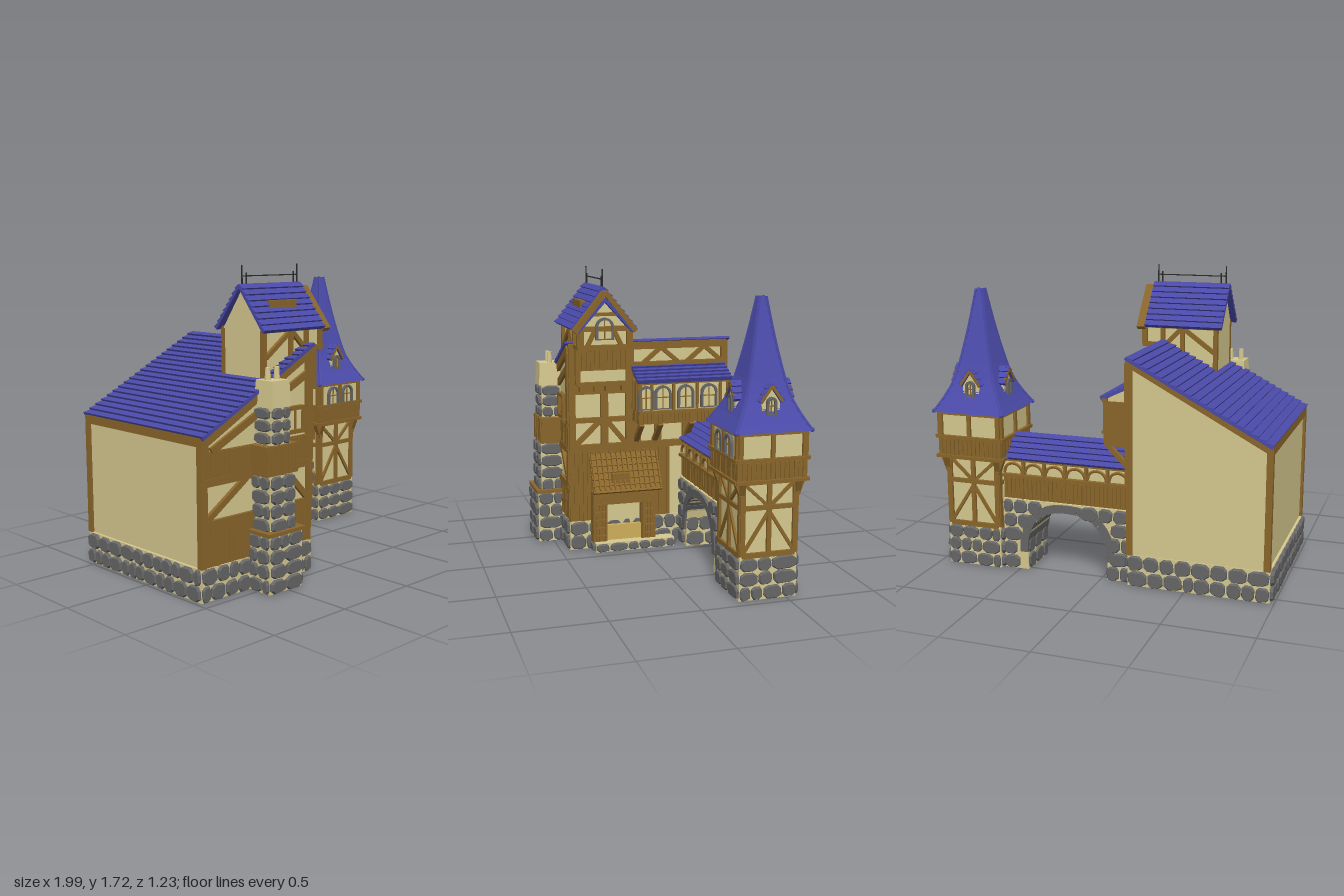
import * as THREE from 'three';
import { mergeGeometries } from 'three/addons/utils/BufferGeometryUtils.js';

const CREAM = 0xd6c98f, WOOD = 0x8a662b, BLUE = 0x4a4aa8, STONE = 0x666666, DARK = 0x2a2a2a, GOLD = 0xcfae5c;
const R = Math.PI / 2, FRONT = 0, RIGHT = R, BACK = 2 * R, LEFT = -R;
let seed = 7;
const rnd = (a = 0, b = 1) => a + (b - a) * ((seed = (seed * 16807) % 2147483647) / 2147483647);

// Merge pieces into one named mesh; rot turns face coordinates (right, up, outward) to a side
function place(parent, name, color, geos, rot = 0) {
  const clean = geos.flat(3).map(g => {
    const n = g.index ? g.toNonIndexed() : g;
    n.deleteAttribute('uv');
    return n;
  });
  const mesh = new THREE.Mesh(mergeGeometries(clean),
    new THREE.MeshStandardMaterial({ color, flatShading: true, side: THREE.DoubleSide }));
  mesh.name = name;
  mesh.rotation.y = rot;
  parent.add(mesh);
}
const box = (x0, x1, y0, y1, z0, z1) =>
  new THREE.BoxGeometry(x1 - x0, y1 - y0, z1 - z0).translate((x0 + x1) / 2, (y0 + y1) / 2, (z0 + z1) / 2);
const beam = (x0, y0, x1, y1, z, w = 0.025, d = 0.03) =>
  new THREE.BoxGeometry(Math.hypot(x1 - x0, y1 - y0), w, d)
    .rotateZ(Math.atan2(y1 - y0, x1 - x0)).translate((x0 + x1) / 2, (y0 + y1) / 2, z);
const poly = pts => new THREE.Shape(pts.map(p => new THREE.Vector2(p[0], p[1])));
const slab = (shape, z0, z1) =>
  new THREE.ExtrudeGeometry(shape, { depth: z1 - z0, bevelEnabled: false, curveSegments: 8 }).translate(0, 0, z0);
const frame = (x0, x1, y0, y1, z, w = 0.025) => [beam(x0, y0, x1, y0, z, w), beam(x0, y1, x1, y1, z, w),
  beam(x0, y0, x0, y1, z, w), beam(x1, y0, x1, y1, z, w)];

// Vertical boards of uneven depth and length
function planks(x0, x1, y0, y1, z, n) {
  const out = [box(x0, x1, y0, y1, z - 0.02, z)], w = (x1 - x0) / n;
  for (let i = 0; i < n; i++)
    out.push(box(x0 + i * w + 0.003, x0 + (i + 1) * w - 0.003, y0 + rnd(0, 0.012), y1 - rnd(0, 0.012), z - 0.01, z + rnd(0.004, 0.011)));
  return out;
}
// Rows of irregular chamfered stones on a wall
function stones(x0, x1, y0, y1, z, skip = () => false) {
  const out = [], rows = Math.max(1, Math.round((y1 - y0) / 0.078)), h = (y1 - y0) / rows;
  for (let r = 0; r < rows; r++) for (let x = x0; x < x1 - 0.01;) {
    let w = rnd(0.06, 0.12);
    if (x + w > x1 - 0.045) w = x1 - x;
    const cx = x + w / 2, cy = y0 + (r + 0.5) * h, a = w / 2 - 0.009, b = h / 2 - 0.009;
    x += w;
    if (skip(cx, cy)) continue;
    const pts = [[1, 0.5], [0.6, 1], [-0.5, 1], [-1, 0.6], [-1, -0.5], [-0.6, -1], [0.5, -1], [1, -0.6]]
      .map(([u, v]) => [cx + u * a * rnd(0.9, 1.04), cy + v * b * rnd(0.88, 1.06)]);
    out.push(new THREE.ExtrudeGeometry(poly(pts), { depth: 0.008, bevelThickness: rnd(0.006, 0.012),
      bevelSize: 0.006, bevelSegments: 1 }).translate(0, 0, z));
  }
  return out;
}
// Stone-clad block: mortar core and stones on all four sides
function stoneBlock(parent, name, x0, x1, y0, y1, z0, z1) {
  place(parent, name + 'Mortar', CREAM, [box(x0, x1, y0, y1, z0, z1)]);
  [[FRONT, x0, x1, z1], [BACK, -x1, -x0, -z0], [RIGHT, -z1, -z0, x1], [LEFT, z0, z1, -x0]]
    .forEach(([rot, a, b, d]) => place(parent, name + 'Stones', STONE, stones(a, b, y0, y1, d), rot));
}
// Stepped shingle courses running from eave (a0,y0) to ridge (a1,y1)
function shingles(a0, y0, a1, y1, n, d0, d1, t = 0.012) {
  const L = Math.hypot(a1 - a0, y1 - y0), s = a1 > a0 ? 1 : -1;
  const nx = -(y1 - y0) / L * s, ny = (a1 - a0) / L * s, pts = [];
  for (let i = 0; i < n; i++) {
    const at = k => [a0 + (a1 - a0) * k / n, y0 + (y1 - y0) * k / n], p = at(i);
    pts.push([p[0] + nx * t, p[1] + ny * t], at(i + 1));
  }
  pts.push([a1 - nx * 0.015, y1 - ny * 0.015], [a0 - nx * 0.015, y0 - ny * 0.015]);
  return slab(poly(pts), d0, d1);
}
const gableRoof = (c, half, y0, y1, n, d0, d1) =>
  [shingles(c - half, y0, c, y1, n, d0, d1), shingles(c + half, y0, c, y1, n, d0, d1)];
const arch = (c, y, w, h) => {
  const s = new THREE.Shape();
  s.moveTo(c - w / 2, y); s.lineTo(c + w / 2, y); s.lineTo(c + w / 2, y + h - w / 2);
  s.absarc(c, y + h - w / 2, w / 2, 0, Math.PI, false); s.closePath();
  return s;
};
// Arched window with stone surround and glazing bars
function archWindow(parent, rot, c, y, w, h, z) {
  const ring = arch(c, y, w, h);
  ring.holes.push(arch(c, y + 0.006, w - 0.028, h - 0.02));
  place(parent, 'windowSurround', STONE, [slab(ring, z - 0.005, z + 0.018)], rot);
  place(parent, 'windowPane', CREAM, [slab(arch(c, y, w - 0.02, h - 0.01), z - 0.005, z + 0.004)], rot);
  place(parent, 'windowBars', WOOD, [beam(c, y, c, y + h - 0.012, z + 0.006, 0.006, 0.008),
    beam(c - w / 2 + 0.012, y + h * 0.5, c + w / 2 - 0.012, y + h * 0.5, z + 0.006, 0.006, 0.008)], rot);
}

function house(g) {
  place(g, 'houseWalls', CREAM, [slab(poly([[-0.96, 0.1], [-0.18, 0.1], [-0.18, 1.285], [-0.96, 0.865]]), -0.56, 0.43)]);
  stoneBlock(g, 'plinth', -0.975, -0.17, 0.01, 0.19, -0.565, 0.44);
  place(g, 'mainRoof', BLUE, [shingles(-0.975, 0.88, -0.165, 1.305, 20, -0.585, 0.46)]);
  // Front timbering
  place(g, 'frontTimber', WOOD, [planks(-0.97, -0.17, 0.19, 0.41, 0.435, 26), planks(-0.97, -0.17, 0.64, 0.8, 0.44, 26),
    frame(-0.955, -0.185, 0.42, 0.64, 0.435, 0.04), beam(-0.955, 0.43, -0.66, 0.63, 0.435, 0.035),
    beam(-0.38, 0.63, -0.19, 0.43, 0.435, 0.035), beam(-0.96, 0.85, -0.18, 1.265, 0.435, 0.06),
    beam(-0.95, 0.78, -0.95, 0.86, 0.435, 0.05), beam(-0.19, 0.8, -0.19, 1.26, 0.435, 0.045),
    beam(-0.9, 0.8, -0.2, 1.14, 0.432, 0.04), frame(-0.375, -0.245, 0.83, 0.96, 0.45, 0.022),
    beam(-0.31, 0.83, -0.31, 0.96, 0.445, 0.008)]);
  place(g, 'frontWindowPane', CREAM, [box(-0.375, -0.245, 0.83, 0.96, 0.43, 0.448)]);
  // Corner posts and roof-edge beams on the plain sides
  place(g, 'backTimber', WOOD, [box(-0.975, -0.94, 0.19, 0.88, -0.575, -0.54), box(-0.975, -0.94, 0.19, 0.88, 0.41, 0.445),
    box(-0.975, -0.945, 0.83, 0.88, -0.57, 0.44), box(-0.2, -0.165, 0.19, 1.28, -0.575, -0.54),
    beam(-0.96, 0.855, -0.18, 1.27, -0.56, 0.04)]);
  // Right wall, measured along -z
  place(g, 'rightTimber', WOOD, [planks(-0.44, 0.2, 0.19, 0.63, -0.17, 24), beam(-0.44, 0.65, 0.56, 0.65, -0.17, 0.04),
    beam(-0.44, 1.01, -0.05, 1.01, -0.17, 0.06), beam(-0.42, 0.64, -0.42, 1.27, -0.17, 0.04),
    beam(-0.22, 0.64, -0.22, 1.0, -0.17, 0.045), beam(-0.06, 0.64, -0.06, 1.27, -0.17, 0.05),
    beam(-0.41, 0.82, -0.08, 0.82, -0.17, 0.03), beam(-0.41, 0.66, -0.24, 0.82, -0.17, 0.03), beam(-0.08, 0.66, -0.21, 0.82, -0.17, 0.03),
    beam(-0.02, 0.65, -0.02, 0.82, -0.17, 0.06), beam(0.12, 0.65, 0.12, 0.82, -0.17, 0.04), beam(0.3, 0.65, 0.3, 0.82, -0.17, 0.04),
    beam(-0.44, 1.265, 0.56, 1.265, -0.17, 0.045), beam(-0.05, 1.15, 0.56, 1.15, -0.17, 0.03), beam(0.55, 0.6, 0.55, 1.27, -0.17, 0.04),
    [0.02, 0.3].map(u => [beam(u, 1.15, u + 0.12, 1.25, -0.17), beam(u + 0.12, 1.25, u + 0.24, 1.15, -0.17)])], RIGHT);
}

function chimney(g) {
  stoneBlock(g, 'chimneyFoot', -0.635, -0.395, 0.01, 0.33, 0.44, 0.592);
  stoneBlock(g, 'chimneyStack', -0.605, -0.425, 0.33, 0.64, 0.43, 0.565);
  stoneBlock(g, 'chimneyNeck', -0.585, -0.45, 0.8, 1.0, 0.43, 0.55);
  place(g, 'chimneyBands', WOOD, [box(-0.65, -0.38, 0.325, 0.345, 0.43, 0.605), planks(-0.63, -0.4, 0.64, 0.8, 0.565, 9),
    box(-0.63, -0.4, 0.64, 0.8, 0.43, 0.56)]);
  const cap = new THREE.CylinderGeometry(0.062 * Math.SQRT2, 0.07 * Math.SQRT2, 0.14, 4).rotateY(Math.PI / 4);
  place(g, 'chimneyCap', CREAM, [cap.translate(-0.52, 1.07, 0.495),
    [-0.55, -0.485].map(x => new THREE.CylinderGeometry(0.014, 0.017, 0.07, 8).translate(x, 1.17, 0.49))]);
}

function upperRoom(g) {
  const c = -0.245;
  place(g, 'upperRoomWalls', CREAM, [slab(poly([[-0.39, 1.26], [-0.09, 1.26], [-0.09, 1.39], [c, 1.61], [-0.39, 1.39]]), -0.5, -0.06),
    box(-0.39, -0.09, 1.04, 1.27, -0.5, -0.115)], RIGHT);
  place(g, 'upperRoomRoof', BLUE, [gableRoof(c, 0.195, 1.385, 1.63, 8, -0.53, -0.065), gableRoof(c, 0.17, 1.375, 1.565, 6, -0.07, -0.018)], RIGHT);
  place(g, 'upperRoomGableTimber', WOOD, [planks(-0.4, -0.08, 1.13, 1.265, -0.11, 12), beam(-0.4, 1.05, -0.08, 1.05, -0.11),
    frame(-0.385, -0.095, 1.275, 1.385, -0.055, 0.03), beam(-0.43, 1.37, c, 1.6, -0.04, 0.03, 0.05), beam(-0.06, 1.37, c, 1.6, -0.04, 0.03, 0.05),
    beam(-0.35, 1.28, -0.3, 1.38, -0.055), beam(-0.14, 1.28, -0.19, 1.38, -0.055), beam(-0.32, 1.47, -0.17, 1.47, -0.055, 0.02),
    [-0.37, -0.28, -0.21, -0.11].map(u => box(u - 0.012, u + 0.012, 1.0, 1.06, -0.17, -0.11))], RIGHT);
  archWindow(g, RIGHT, c, 1.32, 0.11, 0.13, -0.05);
  for (const [rot, z, s] of [[FRONT, 0.395, 1], [BACK, -0.085, -1]]) {
    const x = v => v * s;
    place(g, 'upperRoomSideTimber', WOOD, [beam(x(-0.5), 1.385, x(-0.05), 1.385, z), beam(x(-0.17), 1.275, x(-0.045), 1.275, z),
      [-0.49, -0.29, -0.17, -0.06].map(v => beam(x(v), 1.26 - (v < -0.2 ? 0.13 : 0), x(v), 1.385, z)),
      beam(x(-0.48), 1.24, x(-0.3), 1.37, z), beam(x(-0.28), 1.37, x(-0.18), 1.27, z), beam(x(-0.11), 1.05, x(-0.11), 1.27, z)], rot);
  }
  place(g, 'skylight', WOOD, [box(-0.4, -0.2, 1.495, 1.54, 0.3, 0.355)]);
  // Ridge rail
  place(g, 'ridgeRail', DARK, [box(-0.51, -0.09, 1.668, 1.674, 0.242, 0.248),
    [-0.505, -0.475, -0.115, -0.09].map((x, i) => box(x - 0.003, x + 0.003, 1.62, i % 3 ? 1.69 : 1.73, 0.242, 0.248))]);
}

function gallery(g) {
  place(g, 'galleryWalls', CREAM, [slab(poly([[-0.18, 0.8], [-0.04, 0.8], [-0.04, 1.06], [-0.18, 1.13]]), -0.54, 0.03)]);
  place(g, 'galleryRoof', BLUE, [shingles(-0.01, 1.065, -0.175, 1.145, 5, -0.55, 0.05)]);
  place(g, 'galleryTimber', WOOD, [planks(-0.04, 0.55, 0.8, 0.87, -0.035, 24), beam(-0.04, 1.055, 0.55, 1.055, -0.035),
    beam(-0.04, 0.875, 0.55, 0.875, -0.03, 0.015), [-0.03, 0.04, 0.18, 0.33, 0.48, 0.54].map(u => beam(u, 0.87, u, 1.05, -0.04, 0.016))], RIGHT);
  place(g, 'galleryEnds', WOOD, [planks(-0.17, -0.03, 0.8, 0.89, 0.035, 6), beam(-0.17, 1.115, -0.03, 1.05, 0.03),
    [-0.16, -0.13, -0.1, -0.07, -0.035].map(x => beam(x, 0.88, x, 1.06, 0.035, 0.014)), planks(-0.17, -0.03, 0.8, 1.05, -0.53, 6)]);
  place(g, 'galleryBrackets', WOOD, [0.02, -0.1, -0.3, -0.52].map(z => beam(-0.175, 0.67, -0.04, 0.8, z)));
  [0.11 - 0.14, 0.11, 0.255, 0.405].forEach(u => archWindow(g, RIGHT, u + (u < 0 ? 0.035 : 0), 0.89, 0.105, 0.145, -0.035));
}

function porch(g) {
  stoneBlock(g, 'porchStep', -0.17, -0.07, 0.01, 0.065, -0.2, 0.3);
  place(g, 'porchWalls', WOOD, [planks(-0.31, -0.22, 0.065, 0.38, -0.11, 5), planks(0, 0.09, 0.065, 0.38, -0.11, 5),
    box(-0.31, -0.22, 0.065, 0.38, -0.17, -0.11), box(0, 0.09, 0.065, 0.38, -0.17, -0.11), box(-0.31, 0.09, 0.3, 0.38, -0.17, -0.1),
    [0.1, 0.15, 0.2, 0.25, 0.3, 0.35].map(y => [box(-0.3, -0.23, y, y + 0.008, -0.11, -0.095), box(0.01, 0.08, y, y + 0.008, -0.11, -0.095)])], RIGHT);
  place(g, 'doorway', CREAM, [box(-0.22, 0, 0.065, 0.3, -0.17, -0.155)], RIGHT);
  place(g, 'doorBench', GOLD, [box(-0.22, 0, 0.065, 0.16, -0.16, -0.13)], RIGHT);
  place(g, 'porchRoof', WOOD, [shingles(-0.04, 0.39, -0.165, 0.61, 6, -0.11, 0.32), box(-0.13, -0.06, 0.44, 0.5, 0.09, 0.2),
    Array.from({ length: 14 }, (_, i) => beam(-0.045, 0.405, -0.155, 0.61, 0.31 - i * 0.0317, 0.03, 0.008))]);
}

function bridge(g) {
  // Stone arch with a flattened round opening
  const cx = 0.205, inside = (x, y, m) => y < 0.12 ? Math.abs(x - cx) < 0.245 + m : Math.pow(Math.abs(x - cx) / (0.245 + m), 2.4) + Math.pow((y - 0.12) / (0.26 + m), 2.4) < 1;
  const curve = m => Array.from({ length: 17 }, (_, i) => {
    const t = Math.PI * i / 16, p = v => Math.sign(v) * Math.pow(Math.abs(v), 2 / 2.4);
    return [cx + (0.245 + m) * p(Math.cos(t)), 0.12 + (0.26 + m) * p(Math.sin(t))];
  });
  const c = curve(0);
  place(g, 'archMortar', CREAM, [slab(poly([[0.6, 0.01], [0.6, 0.43], [-0.17, 0.43], [-0.17, 0.01], [-0.04, 0.01], ...c.slice().reverse(), [0.45, 0.01]]), -0.53, -0.27)]);
  const ring = curve(0.045);
  const blocks = c.slice(1).map((p, i) => slab(poly([c[i], p, ring[i + 1], ring[i]].map(([x, y]) => [x + rnd(-0.004, 0.004), Math.min(y, 0.43)])), -0.545, -0.255));
  place(g, 'archStones', STONE, [blocks]);
  place(g, 'archFrontStones', STONE, stones(-0.17, 0.6, 0.01, 0.43, -0.27, (x, y) => inside(x, y, 0.03)));
  place(g, 'archBackStones', STONE, stones(-0.6, 0.17, 0.01, 0.43, 0.53, (x, y) => inside(-x, y, 0.03)), BACK);
  place(g, 'pierStones', STONE, [stones(0.27, 0.53, 0.01, 0.2, -0.045)], RIGHT);
  place(g, 'pierStones', STONE, [stones(-0.53, -0.27, 0.01, 0.2, -0.455)], LEFT);
  // Covered walkway
  place(g, 'walkwayWalls', CREAM, [box(-0.17, 0.61, 0.43, 0.67, -0.51, -0.29)]);
  for (const [rot, z, s] of [[FRONT, -0.285, 1], [BACK, 0.515, -1]]) {
    const a = Math.min(-0.17 * s, 0.6 * s), b = a + 0.77;
    place(g, 'walkwayTimber', WOOD, [planks(a, b, 0.43, 0.565, z, 30), beam(a, 0.57, b, 0.57, z + 0.01, 0.018), beam(a, 0.665, b, 0.665, z, 0.02),
      Array.from({ length: 6 }, (_, i) => {
        const x = a + 0.064 + i * 0.128;
        return [new THREE.TorusGeometry(0.056, 0.009, 5, 12, Math.PI).translate(x, 0.585, z + 0.008), beam(x + 0.064, 0.57, x + 0.064, 0.66, z + 0.005, 0.016)];
      })], rot);
  }
  place(g, 'walkwayRoof', BLUE, gableRoof(0.4, 0.135, 0.67, 0.8, 5, -0.165, 0.6), RIGHT);
}

function tower(g) {
  const t = new THREE.Group();
  t.name = 'tower';
  t.position.set(0.775, 0, -0.395);
  g.add(t);
  stoneBlock(t, 'towerBase', -0.165, 0.165, 0.01, 0.25, -0.165, 0.165);
  place(t, 'towerWalls', CREAM, [box(-0.155, 0.155, 0.25, 0.68, -0.155, 0.155), box(-0.19, 0.19, 0.67, 0.95, -0.19, 0.19)]);
  for (const rot of [FRONT, RIGHT, BACK, LEFT]) {
    place(t, 'towerTimber', WOOD, [frame(-0.15, 0.15, 0.26, 0.66, 0.155, 0.028), beam(0, 0.26, 0, 0.66, 0.155), beam(-0.15, 0.52, 0.15, 0.52, 0.155),
      [-1, 1].map(s => [beam(0, 0.5, s * 0.14, 0.28, 0.153, 0.018), beam(s * 0.01, 0.53, s * 0.14, 0.65, 0.153, 0.018),
        beam(s * 0.155, 0.58, s * 0.195, 0.68, 0.16), beam(s * 0.18, 0.78, s * 0.18, 0.94, 0.19)]),
      planks(-0.2, 0.2, 0.67, 0.78, 0.193, 15), beam(-0.205, 0.67, 0.205, 0.67, 0.197, 0.018), beam(-0.205, 0.785, 0.205, 0.785, 0.197, 0.018),
      beam(0, 0.78, 0, 0.93, 0.19, 0.022), beam(-0.19, 0.925, 0.19, 0.925, 0.19, 0.02)], rot);
    // Roof dormers
    place(t, 'dormerWalls', CREAM, [slab(poly([[-0.05, 1], [0.05, 1], [0.05, 1.1], [0, 1.17], [-0.05, 1.1]]), 0.03, 0.155)], rot);
    place(t, 'dormerRoof', BLUE, gableRoof(0, 0.066, 1.085, 1.18, 3, 0.02, 0.17), rot);
    place(t, 'dormerTrim', WOOD, [beam(-0.06, 1.085, 0, 1.168, 0.162, 0.015, 0.02), beam(0.06, 1.085, 0, 1.168, 0.162, 0.015, 0.02),
      beam(-0.055, 1.005, 0.055, 1.005, 0.155, 0.015)], rot);
    archWindow(t, rot, 0, 1.015, 0.058, 0.095, 0.155);
  }
  [-0.068, 0.068].forEach(x => archWindow(t, FRONT, x, 0.79, 0.1, 0.12, 0.19));
  // Flared square spire in shingle courses
  const prof = [[0.93, 0.215], [1.0, 0.172], [1.1, 0.125], [1.2, 0.098], [1.4, 0.056], [1.62, 0.018]];
  const half = y => {
    const i = Math.max(1, prof.findIndex(p => p[0] >= y - 1e-6)), [a, b] = [prof[i - 1], prof[i]];
    return a[1] + (b[1] - a[1]) * (y - a[0]) / (b[0] - a[0]);
  };
  const N = 18, h = 0.69 / N, hips = [];
  place(t, 'spire', BLUE, Array.from({ length: N }, (_, i) => {
    const y = 0.93 + i * h;
    return new THREE.CylinderGeometry(half(y + h) * Math.SQRT2, (half(y) + 0.006) * Math.SQRT2, h, 4).rotateY(Math.PI / 4).translate(0, y + h / 2, 0);
  }));
  for (const sx of [-1, 1]) for (const sz of [-1, 1]) {
    const path = new THREE.CatmullRomCurve3(prof.map(([y, r]) => new THREE.Vector3(sx * r, y, sz * r)));
    hips.push(new THREE.TubeGeometry(path, 14, 0.009, 5), new THREE.SphereGeometry(0.013, 6, 4).translate(sx * 0.212, 0.935, sz * 0.212));
  }
  place(t, 'spireHips', BLUE, hips);
}

export function createModel() {
  const g = new THREE.Group();
  g.name = 'timberHouse';
  [house, chimney, upperRoom, gallery, porch, bridge, tower].forEach(build => build(g));
  return g;
}
